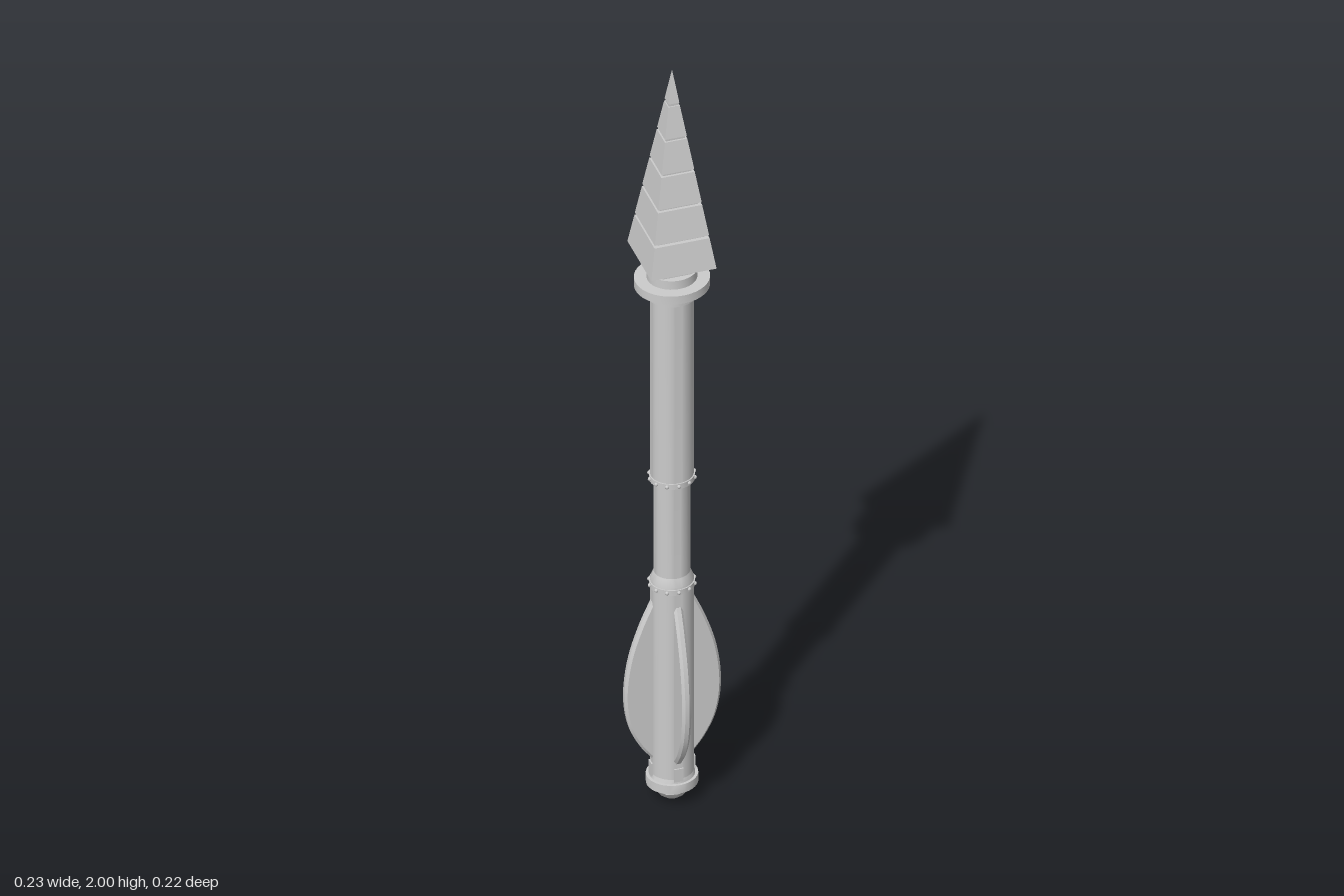
import * as THREE from 'three';
import { toCreasedNormals } from 'three/addons/utils/BufferGeometryUtils.js';

const DEPTH = 0.95; // the shaft is slightly flattened front to back

export function createModel() {
  const model = new THREE.Group();
  const grey = new THREE.MeshStandardMaterial({ color: 0xcccccc, side: THREE.DoubleSide });
  const flat = new THREE.MeshStandardMaterial({ color: 0xcccccc, side: THREE.DoubleSide, flatShading: true });

  const add = (name, geometry, material = grey, parent = model) => {
    const mesh = new THREE.Mesh(geometry, material);
    mesh.name = name;
    parent.add(mesh);
    return mesh;
  };
  const lathe = (name, profile, sides = 32) => {
    const points = profile.map(([r, y]) => new THREE.Vector2(r, y));
    const mesh = add(name, toCreasedNormals(new THREE.LatheGeometry(points, sides), 0.5));
    mesh.scale.z = DEPTH;
    return mesh;
  };

  // Shaft sections
  lathe('lowerGrip', [[0, 0.06], [0.05, 0.06], [0.05, 0.585], [0.05, 0.605], [0.042, 0.625], [0, 0.625]]);
  lathe('middleShaft', [[0.042, 0.6], [0.042, 0.89]]);
  lathe('upperShaft', [[0, 0.88], [0.05, 0.88], [0.05, 1.40], [0, 1.40]]);

  // Collar with a wide flange below the head
  lathe('collar', [
    [0.05, 1.383], [0.058, 1.383], [0.058, 1.41], [0.087, 1.41], [0.087, 1.432],
    [0.058, 1.432], [0.058, 1.455], [0, 1.455],
  ]);

  // Pommel: rim, cap and faceted point
  lathe('pommelRim', [[0.05, 0.078], [0.053, 0.068], [0.06, 0.068], [0.06, 0.045], [0, 0.045]]);
  lathe('pommelCap', [[0.038, 0.046], [0.041, 0.03], [0.03, 0.014], [0.016, 0.004], [0, 0]], 10);

  // Thin bands with rivets at the joints
  for (const y of [0.593, 0.885]) {
    lathe('jointBand', [[0.049, y - 0.007], [0.053, y - 0.007], [0.053, y + 0.007], [0.049, y + 0.007]]);
    const rivets = new THREE.Group();
    rivets.name = 'jointRivets';
    rivets.scale.z = DEPTH;
    for (let i = 0; i < 12; i++) {
      const a = (i / 12) * Math.PI * 2;
      add('rivet', new THREE.SphereGeometry(0.005, 8, 6), grey, rivets)
        .position.set(Math.sin(a) * 0.053, y, Math.cos(a) * 0.053);
    }
    model.add(rivets);
  }

  // Four curved fins around the grip, with bevelled edges
  const outline = new THREE.Shape();
  outline.moveTo(0.035, 0.12);
  outline.lineTo(0.046, 0.125);
  outline.splineThru([
    [0.072, 0.16], [0.096, 0.21], [0.108, 0.27], [0.108, 0.335], [0.096, 0.41], [0.072, 0.485], [0.046, 0.545],
  ].map(([x, y]) => new THREE.Vector2(x, y)));
  outline.lineTo(0.035, 0.55);
  const finGeometry = new THREE.ExtrudeGeometry(outline, {
    depth: 0.01, curveSegments: 20, bevelEnabled: true, bevelThickness: 0.006, bevelSize: 0.006, bevelSegments: 1,
  });
  finGeometry.translate(0, 0, -0.005);
  const fins = new THREE.Group();
  fins.name = 'gripFins';
  fins.scale.z = DEPTH;
  for (let i = 0; i < 4; i++) {
    const arm = new THREE.Group();
    arm.name = 'finArm';
    arm.rotation.y = i * Math.PI / 2;
    add('fin', finGeometry, flat, arm);
    // Small block under each fin
    add('finFoot', new THREE.BoxGeometry(0.012, 0.035, 0.022), flat, arm).position.set(0.047, 0.09, 0);
    fins.add(arm);
  }
  model.add(fins);

  // Square spearhead: six stacked tiers parted by shallow grooves
  const head = new THREE.Group();
  head.name = 'spearhead';
  head.scale.set(0.078, 1, 0.0845);
  const frustum = (name, top, bottom, y0, y1) => {
    const geometry = new THREE.CylinderGeometry(top * Math.SQRT2, bottom * Math.SQRT2, y1 - y0, 4);
    geometry.rotateY(Math.PI / 4);
    add(name, geometry, flat, head).position.y = (y0 + y1) / 2;
  };
  frustum('headNeck', 0.46, 0.46, 1.445, 1.465);
  frustum('headBase', 1, 0.46, 1.457, 1.49);
  const base = 1.49, tiers = 6, step = (2 - base) / tiers;
  for (let i = 0; i < tiers; i++) {
    const y0 = base + i * step;
    const r0 = 1 - i / tiers, r1 = 1 - (i + 1) / tiers;
    if (i === tiers - 1) {
      frustum('headTip', 0, r0, y0, 2);
    } else {
      frustum('headTier', r1 + 0.01, r0, y0, y0 + step - 0.007);
      frustum('headGroove', r1 * 0.88, r1 * 0.88, y0 + step - 0.009, y0 + step + 0.001);
    }
  }
  model.add(head);
  return model;
}
